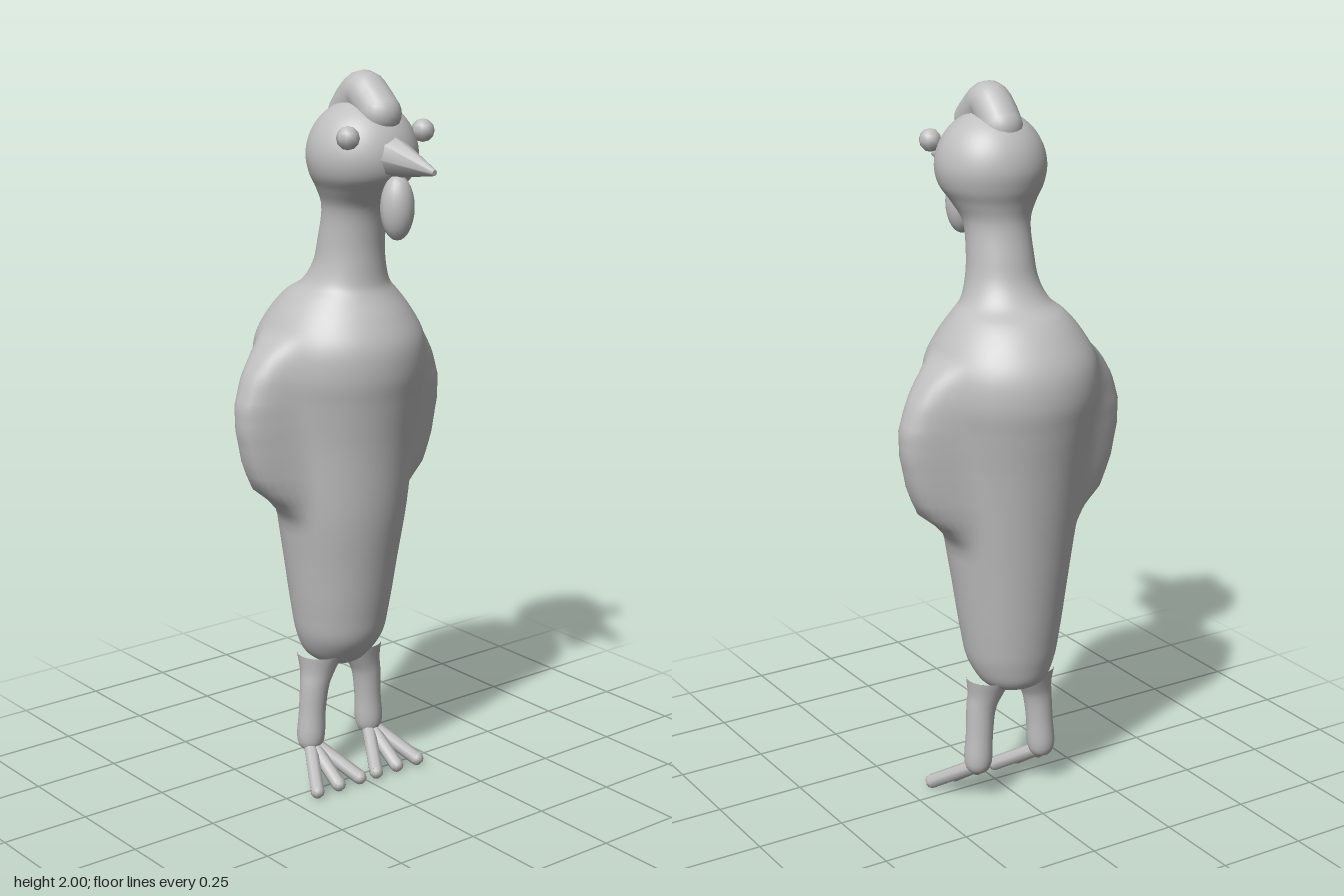
import * as THREE from 'three';

const SIDES = 96;

// Smooth skin through rings of [y, centreX, centreZ, radius], lowest ring first
function loft(rings, sides, steps, warp) {
  const place = new THREE.CatmullRomCurve3(rings.map(r => new THREE.Vector3(r[1], r[0], r[2])), false, 'centripetal');
  const width = new THREE.CatmullRomCurve3(rings.map(r => new THREE.Vector3(r[3], r[0], 0)), false, 'centripetal');
  const rows = (rings.length - 1) * steps;
  const pos = [], index = [], c = new THREE.Vector3(), w = new THREE.Vector3(), p = new THREE.Vector3();
  for (let j = 0; j <= rows; j++) {
    place.getPoint(j / rows, c);
    width.getPoint(j / rows, w);
    const r = Math.max(0, w.x);
    for (let i = 0; i < sides; i++) {
      const a = i / sides * Math.PI * 2;
      p.set(c.x + r * Math.cos(a), w.y, c.z + r * Math.sin(a));
      if (warp) warp(p);
      pos.push(p.x, p.y, p.z);
      if (j < rows) {
        const k = j * sides + i, n = j * sides + (i + 1) % sides;
        index.push(k, k + sides, n, n, k + sides, n + sides);
      }
    }
  }
  const g = new THREE.BufferGeometry();
  g.setAttribute('position', new THREE.Float32BufferAttribute(pos, 3));
  g.setIndex(index);
  g.computeVertexNormals();
  return g;
}

// How far the folded wing stands out from the body at each height
const WING = [[0.77, 0], [0.82, 0.018], [0.85, 0.055], [0.88, 0.088], [0.95, 0.113], [1.05, 0.12],
  [1.12, 0.11], [1.2, 0.07], [1.25, 0.04], [1.31, 0]];

function wingBulge(p) {
  for (let k = 1; k < WING.length; k++) {
    const [y0, d0] = WING[k - 1], [y1, d1] = WING[k];
    if (p.y >= y0 && p.y < y1) {
      const depth = d0 + (d1 - d0) * (p.y - y0) / (y1 - y0);
      const u = (p.x + 0.08) / 0.075;
      p.z += Math.sign(p.z) * depth * Math.exp(-Math.pow(u, 4));
      return;
    }
  }
}

export function createModel() {
  const model = new THREE.Group();
  model.name = 'bird';
  const grey = new THREE.MeshStandardMaterial({ color: 0xbfbfbf });
  grey.name = 'plain grey';

  const add = (parent, name, geometry, x = 0, y = 0, z = 0) => {
    const mesh = new THREE.Mesh(geometry, grey);
    mesh.name = name;
    mesh.position.set(x, y, z);
    parent.add(mesh);
    return mesh;
  };
  // Tapered rod between two points
  const rod = (parent, name, from, to, r0, r1, sides) => {
    const dir = to.clone().sub(from);
    const mesh = add(parent, name, new THREE.CylinderGeometry(r1, r0, dir.length(), sides));
    mesh.position.copy(from).addScaledVector(dir, 0.5);
    mesh.quaternion.setFromUnitVectors(new THREE.Vector3(0, 1, 0), dir.normalize());
    return mesh;
  };

  // Body, wings, neck and head in one smooth skin
  add(model, 'bodyWingsNeckHead', loft([
    [0.325, -0.08, 0, 0], [0.335, -0.083, 0, 0.05], [0.36, -0.09, 0, 0.09], [0.42, -0.08, 0, 0.122],
    [0.5, -0.077, 0, 0.138], [0.65, -0.074, 0, 0.16], [0.8, -0.071, 0, 0.182], [1.0, -0.076, 0, 0.206],
    [1.12, -0.078, 0, 0.225], [1.2, -0.078, 0, 0.237], [1.28, -0.076, 0, 0.229], [1.35, -0.073, 0, 0.192],
    [1.4, -0.067, 0, 0.152], [1.43, -0.05, 0, 0.12], [1.48, -0.034, 0, 0.099], [1.55, -0.024, 0, 0.09],
    [1.64, -0.006, 0, 0.091], [1.69, 0.01, 0, 0.115], [1.73, 0.02, 0, 0.139], [1.778, 0.022, 0, 0.149],
    [1.83, 0.022, 0, 0.139], [1.875, 0.022, 0, 0.112], [1.905, 0.022, 0, 0.076], [1.92, 0.022, 0, 0.042],
    [1.926, 0.022, 0, 0]], SIDES, 5, wingBulge));

  // Comb: an arched roll with rounded ends and a raised middle
  const comb = new THREE.Group();
  comb.name = 'comb';
  model.add(comb);
  const arch = new THREE.CatmullRomCurve3([[-0.03, 1.885], [0, 1.92], [0.03, 1.941], [0.062, 1.92], [0.095, 1.89]]
    .map(([x, y]) => new THREE.Vector3(x, y, 0)));
  add(comb, 'combRoll', new THREE.TubeGeometry(arch, 24, 0.057, 20));
  add(comb, 'combBack', new THREE.SphereGeometry(0.057, 20, 14), -0.03, 1.885, 0);
  add(comb, 'combFront', new THREE.SphereGeometry(0.057, 20, 14), 0.095, 1.89, 0);

  // Beak and wattle
  rod(model, 'beak', new THREE.Vector3(0.1, 1.789, 0), new THREE.Vector3(0.315, 1.762, 0), 0.068, 0.008, 8);
  add(model, 'wattle', new THREE.SphereGeometry(1, 20, 14), 0.168, 1.655, 0).scale.set(0.045, 0.086, 0.045);

  for (const side of [1, -1]) {
    const tag = side > 0 ? 'near' : 'far';

    add(model, tag + 'Eye', new THREE.SphereGeometry(0.031, 8, 6), 0.12, 1.84, side * 0.125);

    // Leg flares into the underside of the body
    add(model, tag + 'Leg', loft([
      [0.085, -0.078, side * 0.105, 0], [0.09, -0.078, side * 0.105, 0.025], [0.115, -0.078, side * 0.105, 0.038],
      [0.2, -0.077, side * 0.1, 0.038], [0.28, -0.075, side * 0.092, 0.042],
      [0.32, -0.077, side * 0.08, 0.05], [0.37, -0.08, side * 0.068, 0.066]], 20, 4));

    // Three splayed toes slanting down to the ground
    const foot = new THREE.Group();
    foot.name = tag + 'Foot';
    model.add(foot);
    for (const spread of [-0.075, 0, 0.075]) {
      const heel = new THREE.Vector3(-0.07, 0.1, side * 0.105 + spread * 0.1);
      const tip = new THREE.Vector3(0.05, 0.02, side * 0.105 + spread);
      rod(foot, 'toe', heel, tip, 0.02, 0.02, 8);
      add(foot, 'toeTip', new THREE.SphereGeometry(0.02, 8, 6), tip.x, tip.y, tip.z);
    }
  }
  return model;
}
